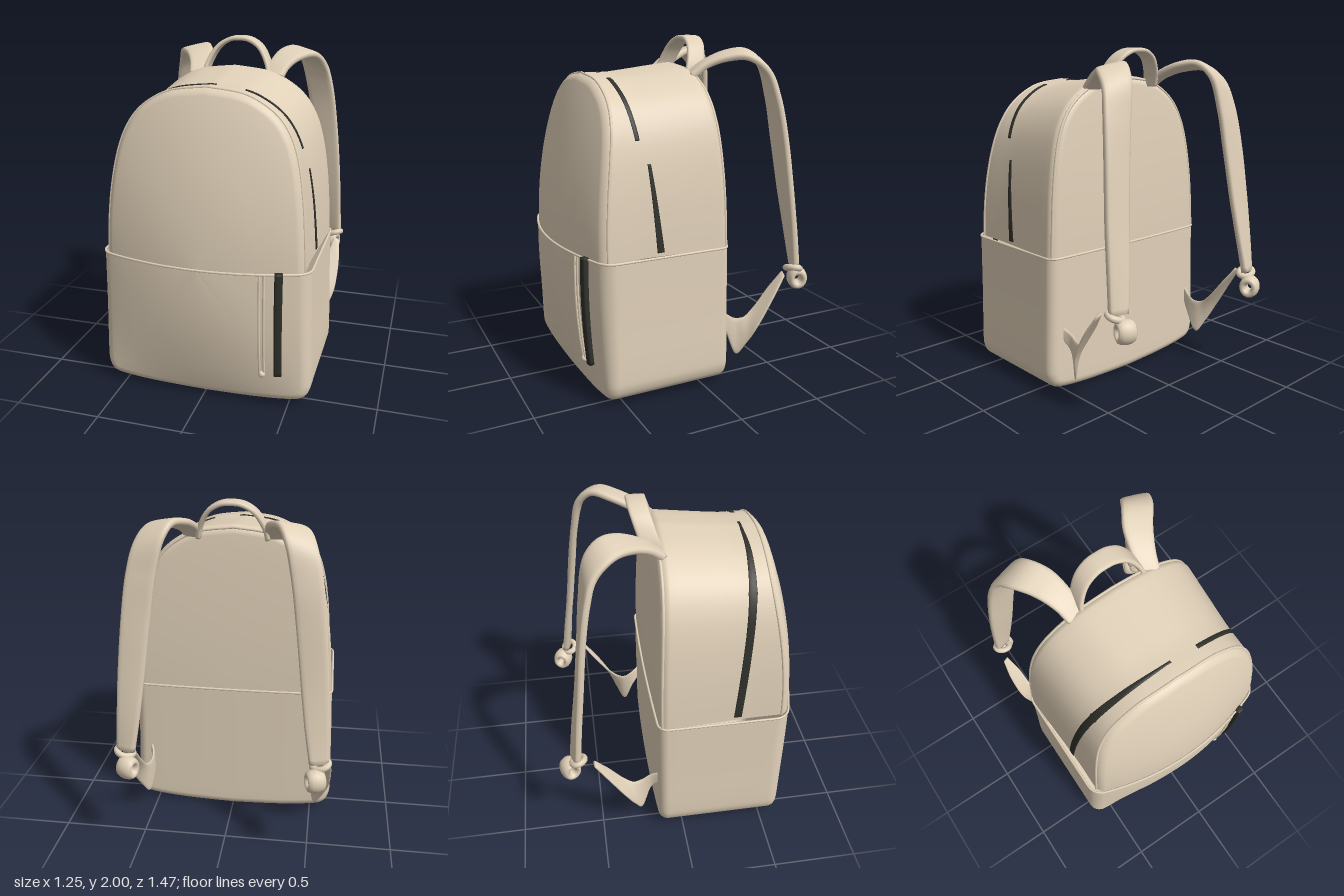
import * as THREE from 'three';

const fabric = new THREE.MeshStandardMaterial({ color: 0xe0d0b8, side: THREE.DoubleSide });
fabric.name = 'tan fabric';
const dark = new THREE.MeshStandardMaterial({ color: 0x2f302a, side: THREE.DoubleSide });
dark.name = 'dark zipper';

const V = (x, y, z) => new THREE.Vector3(x, y, z);
const lerp = THREE.MathUtils.lerp;
const SEAM = 0.835; // height where the lower pocket sleeve ends

function mesh(name, geometry, material = fabric) {
  const m = new THREE.Mesh(geometry, material);
  m.name = name;
  return m;
}

// Skin over rows of points; each row runs counter-clockwise about the row direction
function skin(rows, closed) {
  const n = rows[0].length, index = [];
  for (let i = 0; i < rows.length - 1; i++) {
    for (let j = 0; j < (closed ? n : n - 1); j++) {
      const k = (j + 1) % n, a = i * n;
      index.push(a + j, a + k, a + n + j, a + k, a + n + k, a + n + j);
    }
  }
  const g = new THREE.BufferGeometry().setFromPoints(rows.flat());
  g.setIndex(index);
  g.computeVertexNormals();
  return g;
}

// Band through stations [centre, half-width vector] with a soft rectangular section
function band(stations, halfThick, steps = 48, sides = 16) {
  const path = new THREE.CatmullRomCurve3(stations.map(s => s[0]));
  const width = new THREE.CatmullRomCurve3(stations.map(s => s[1]));
  const soft = v => Math.sign(v) * Math.sqrt(Math.abs(v));
  const rows = [];
  for (let i = 0; i <= steps; i++) {
    const c = path.getPoint(i / steps), w = width.getPoint(i / steps);
    const n = path.getTangent(i / steps).cross(w).normalize().multiplyScalar(halfThick);
    const row = [];
    for (let j = 0; j < sides; j++) {
      const a = j / sides * Math.PI * 2;
      row.push(c.clone().addScaledVector(w, soft(Math.cos(a))).addScaledVector(n, soft(Math.sin(a))));
    }
    if (i === 0) rows.push(row.map(() => c));
    rows.push(row);
    if (i === steps) rows.push(row.map(() => c));
  }
  return skin(rows, true);
}

function cord(points, radius, closed = false) {
  return new THREE.TubeGeometry(new THREE.CatmullRomCurve3(points, closed), 160, radius, 8, closed);
}

// Half outline points mirrored into a full arch, with outward normals
function outline(half) {
  const pts = new THREE.SplineCurve(half.map(p => new THREE.Vector2(...p))).getPoints(40);
  const all = [...pts, ...pts.slice(0, -1).reverse().map(p => new THREE.Vector2(-p.x, p.y))];
  if (half[0][1] > half.at(-1)[1]) all.reverse(); // keep counter-clockwise
  return all.map((p, i) => {
    if (i === 0 || i === all.length - 1) return { p, n: new THREE.Vector2(Math.sign(p.x), 0) };
    const t = all[i + 1].clone().sub(all[i - 1]).normalize();
    return { p, n: new THREE.Vector2(t.y, -t.x) };
  });
}

const upperFront = (x, y) => 0.72 - 0.21 * (y - SEAM) ** 2 - 0.33 * x * x;
const upperBack = (x, y) => -0.155 + 0.055 * (y - SEAM) ** 2 + 0.04 * x * x;
const lowerFront = (x, y) => 0.61 + (1 - (x / 0.6) ** 2) * (0.12 - 0.25 * (0.7 - y) ** 2);
const lowerBack = x => -0.162 + 0.04 * x * x;
// The arch narrows towards the front, then runs level under the zipper
const narrow = t => 1 - 0.045 * Math.min(1, t / 0.72);

// Shell rows from the middle of the back panel, around the rounded edge, to the middle of the front
function shell(out, front, back, scaleAt, rBack, rFront) {
  const rows = [], caps = [0, 0.2, 0.4, 0.6, 0.8, 0.92], E = 6, D = 12;
  const ring = (s, d, t, off) => rows.push(out.map(({ p, n }) => {
    const k = scaleAt(t);
    const x = (p.x * k - n.x * d) * s;
    const y = SEAM + ((p.y - SEAM) * k - n.y * d) * s;
    return V(x, y, lerp(back(x, y), front(x, y), t) + off);
  }));
  const edge = (r, t, i) => {
    const a = i / E * Math.PI / 2;
    ring(1, r * (1 - Math.sin(a)), t, r * (1 - Math.cos(a)) * (t ? -1 : 1));
  };
  caps.forEach(s => ring(s, rBack, 0, 0));
  for (let i = 0; i <= E; i++) edge(rBack, 0, i);
  for (let i = 1; i < D; i++) ring(1, 0, i / D, lerp(rBack, -rFront, i / D));
  for (let i = E; i >= 0; i--) edge(rFront, 1, i);
  caps.reverse().forEach(s => ring(s, rFront, 1, 0));
  return { rows, backEdge: rows[caps.length + 3], frontEdge: rows[rows.length - caps.length - 6] };
}

export function createModel() {
  const bag = new THREE.Group();
  bag.name = 'backpack';

  // Main compartment and lower sleeve
  const upperOut = outline([[0.602, SEAM], [0.594, 1], [0.578, 1.2], [0.548, 1.4], [0.505, 1.55],
    [0.435, 1.67], [0.335, 1.755], [0.2, 1.815], [0, 1.84]]);
  const lowerOut = outline([[0.607, SEAM], [0.615, 0.5], [0.625, 0.2], [0.618, 0.1], [0.58, 0.045],
    [0.5, 0.024], [0.3, 0.008], [0, 0]]);
  const upper = shell(upperOut, upperFront, upperBack, narrow, 0.05, 0.04);
  const lower = shell(lowerOut, lowerFront, lowerBack, () => 1, 0.055, 0.06);
  bag.add(mesh('mainCompartment', skin(upper.rows, false)));
  bag.add(mesh('lowerSleeve', skin(lower.rows, false)));

  // Hem round the top of the sleeve, and piping on the panel edges
  const hem = [...lower.rows.slice(1, -1).map(r => r[0]), lower.rows.at(-1)[0],
    ...lower.rows.slice(1, -1).map(r => r.at(-1)).reverse(), lower.rows[0][0]];
  bag.add(mesh('sleeveHem', cord(hem, 0.007, true)));
  bag.add(mesh('backPiping', cord(upper.backEdge, 0.009)));
  bag.add(mesh('frontPanelPiping', cord(upper.frontEdge, 0.008)));

  // Main zipper in three visible runs, each with its own depth and half width
  const runs = [
    { name: 'lowerLeftZipper', has: p => p.x > 0 && p.y < 1.38,
      depth: p => 0.275 + 0.05 * (p.y - SEAM) / 0.53, half: p => 0.022 - 0.012 * (p.y - SEAM) / 0.53 },
    { name: 'upperLeftZipper', has: p => p.x > 0.19 && p.y > 1.47,
      depth: p => 0.375 + 0.035 * (p.y - 1.47) / 0.33, half: () => 0.013 },
    { name: 'rightZipper', has: p => p.x < 0.04,
      depth: p => 0.315 + 0.09 * (p.y - SEAM) / 0.97, half: p => 0.007 + 0.016 * Math.min(1, Math.abs(p.x) / 0.45) }
  ];
  for (const { name, has, depth, half } of runs) {
    const stations = upperOut.filter(({ p }) => p.y > 0.85 && has(p)).map(({ p, n }) => {
      const z = depth(p), k = narrow((z + 0.12) / (upperFront(p.x, p.y) + 0.12));
      return [V(p.x * k + n.x * 0.001, SEAM + (p.y - SEAM) * k + n.y * 0.001, z), V(0, 0, half(p))];
    });
    bag.add(mesh(name, band(stations, 0.004, 60, 8), dark));
  }

  // Front pocket zipper and the welt beside it
  const heights = [0.22, 0.35, 0.5, 0.65, 0.78, 0.845];
  bag.add(mesh('pocketZipper', band(heights.map(y =>
    [V(0.447, y, lowerFront(0.447, y) + 0.008), V(0.022, 0, -0.006)]), 0.021, 30), dark));
  for (const x of [0.345, 0.37]) {
    bag.add(mesh('pocketWelt', cord(heights.map(y => V(x, y - 0.012, lowerFront(x, y) + 0.002)), 0.007)));
  }
  const weltEnd = mesh('weltEnd', new THREE.SphereGeometry(0.02, 16, 12));
  weltEnd.position.set(0.358, 0.215, lowerFront(0.358, 0.215) + 0.003);
  bag.add(weltEnd);

  // Carry handle
  const handle = [[-0.2, 1.77, -0.11], [-0.185, 1.84, -0.135], [-0.13, 1.935, -0.165], [-0.06, 1.978, -0.178],
    [0, 1.985, -0.18], [0.06, 1.978, -0.178], [0.13, 1.935, -0.165], [0.185, 1.84, -0.135], [0.2, 1.77, -0.11]];
  bag.add(mesh('carryHandle', band(handle.map(p => [V(...p), V(0, 0, 0.056)]), 0.014)));

  // Shoulder straps, buckles and lower tabs on both sides
  for (const s of [1, -1]) {
    const side = s > 0 ? 'left' : 'right';
    const at = (x, y, z) => V(s * x, y, z);
    const strap = [
      [at(0.235, 1.77, -0.07), at(0.055, 0, 0.01)],
      [at(0.25, 1.835, -0.16), at(0.065, -0.005, 0.02)],
      [at(0.295, 1.885, -0.28), at(0.078, -0.015, 0.03)],
      [at(0.36, 1.893, -0.38), at(0.085, -0.02, 0.03)],
      [at(0.405, 1.82, -0.465), at(0.087, -0.02, 0.02)],
      [at(0.445, 1.65, -0.51), at(0.085, 0, 0.01)],
      [at(0.478, 1.4, -0.545), at(0.083, 0, 0.002)],
      [at(0.508, 1.1, -0.58), at(0.078, 0, 0.004)],
      [at(0.53, 0.85, -0.612), at(0.068, 0, 0.01)],
      [at(0.55, 0.64, -0.635), at(0.054, 0, 0.016)]];
    bag.add(mesh(side + 'ShoulderStrap', band(strap, 0.022, 64)));

    const ring = mesh(side + 'StrapRing', new THREE.TorusGeometry(0.038, 0.023, 12, 28));
    ring.position.set(s * 0.535, 0.55, -0.672);
    ring.rotation.y = s * 1.2;
    ring.scale.set(1, 1.15, 2.3);
    const knot = mesh(side + 'StrapKnot', new THREE.TorusGeometry(0.035, 0.016, 10, 24));
    knot.position.set(s * 0.56, 0.625, -0.62);
    knot.rotation.set(1.3, s * 0.3, 0);
    knot.scale.set(1.3, 1.1, 1.2);
    bag.add(ring, knot);

    // Tab as pairs of upper and lower edge points
    const tab = [
      [[0.535, 0.42, -0.13], [0.535, 0.35, -0.13]],
      [[0.51, 0.385, -0.19], [0.505, 0.27, -0.19]],
      [[0.51, 0.35, -0.25], [0.53, 0.125, -0.25]],
      [[0.525, 0.355, -0.3], [0.57, 0.2, -0.295]],
      [[0.53, 0.41, -0.365], [0.615, 0.315, -0.345]],
      [[0.545, 0.525, -0.455], [0.625, 0.48, -0.44]],
      [[0.575, 0.625, -0.53], [0.61, 0.605, -0.525]]
    ].map(([a, b]) => {
      const p = at(...a), q = at(...b);
      return [p.clone().add(q).multiplyScalar(0.5), p.sub(q).multiplyScalar(0.5)];
    });
    bag.add(mesh(side + 'LowerTab', band(tab, 0.008, 36, 12)));
  }
  return bag;
}
